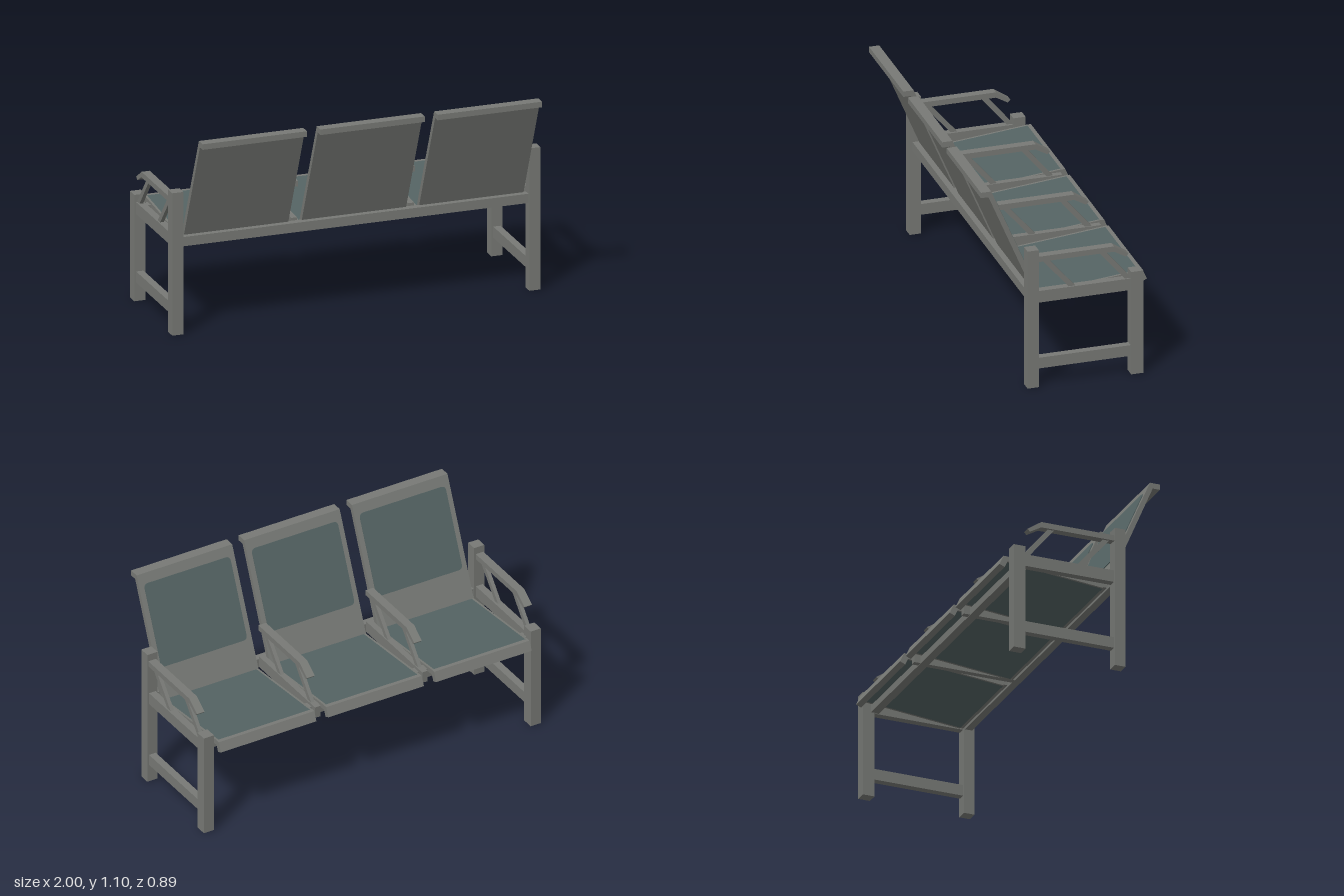
import * as THREE from 'three';

const frameMat = new THREE.MeshStandardMaterial({ color: 0x777975 });
frameMat.name = 'grey frame';
const fabricMat = new THREE.MeshStandardMaterial({ color: 0x546363 });
fabricMat.name = 'teal fabric';

export function createModel() {
  const bench = new THREE.Group();
  bench.name = 'threeSeatBench';

  const add = (name, geometry, material, parent = bench) => {
    const mesh = new THREE.Mesh(geometry, material);
    mesh.name = name;
    parent.add(mesh);
    return mesh;
  };

  // Box given by its limits on each axis
  const box = (name, [x0, x1], [y0, y1], [z0, z1], parent, mat = frameMat) => {
    const mesh = add(name, new THREE.BoxGeometry(x1 - x0, y1 - y0, z1 - z0), mat, parent);
    mesh.position.set((x0 + x1) / 2, (y0 + y1) / 2, (z0 + z1) / 2);
    return mesh;
  };

  // Side profile of [z, y] points, extruded across x and centred on the given x
  const profile = (name, points, x, width, parent, mat = frameMat) => {
    const shape = new THREE.Shape(points.map(([z, y]) => new THREE.Vector2(z, y)));
    const g = new THREE.ExtrudeGeometry(shape, { depth: width, bevelEnabled: false });
    g.translate(0, 0, -width / 2).rotateY(-Math.PI / 2).translate(x, 0, 0);
    return add(name, g, mat, parent);
  };

  // Armrest with two slanted struts
  const arm = (x, parent) => {
    profile('armrest', [[0.16, 0.70], [0.16, 0.73], [-0.245, 0.73], [-0.322, 0.678],
      [-0.308, 0.664], [-0.245, 0.70]], x, 0.045, parent);
    profile('rearStrut', [[0.14, 0.705], [0.105, 0.705], [-0.045, 0.53], [-0.01, 0.53]].map(
      ([z, y]) => [y < 0.6 ? z - 0.0 : z, y]), x, 0.02, parent);
    profile('frontStrut', [[-0.165, 0.705], [-0.2, 0.705], [-0.345, 0.53], [-0.31, 0.53]], x, 0.02, parent);
  };

  // End frames: posts, side rails and armrests
  for (const s of [-1, 1]) {
    const end = new THREE.Group();
    end.name = s > 0 ? 'leftEndFrame' : 'rightEndFrame';
    bench.add(end);
    const across = (a, b) => (s > 0 ? [a, b] : [-b, -a]);
    box('rearPost', across(0.94, 1), [0, 0.77], [0.16, 0.22], end);
    box('frontPost', across(0.94, 1), [0, 0.575], [-0.40, -0.335], end);
    box('lowerSideRail', across(0.95, 0.99), [0.10, 0.16], [-0.335, 0.16], end);
    box('upperSideRail', across(0.95, 0.99), [0.47, 0.535], [-0.335, 0.16], end);
    arm(s * 0.972, end);

    // Inner arms between the seats
    const inner = new THREE.Group();
    inner.name = s > 0 ? 'leftInnerArm' : 'rightInnerArm';
    bench.add(inner);
    box('innerRail', across(0.302, 0.334), [0.472, 0.535], [-0.39, 0.165], inner);
    arm(s * 0.318, inner);
  }

  // Long rails
  box('rearRail', [-0.945, 0.945], [0.47, 0.52], [0.165, 0.205]);
  box('frontRail', [-0.945, 0.945], [0.47, 0.52], [-0.355, -0.31]);

  // Rounded fabric sheet for the backrests
  const w = 0.255, h = 0.222, r = 0.025;
  const sheet = new THREE.Shape();
  sheet.moveTo(-w + r, -h);
  sheet.lineTo(w - r, -h).quadraticCurveTo(w, -h, w, -h + r);
  sheet.lineTo(w, h - r).quadraticCurveTo(w, h, w - r, h);
  sheet.lineTo(-w + r, h).quadraticCurveTo(-w, h, -w, h - r);
  sheet.lineTo(-w, -h + r).quadraticCurveTo(-w, -h, -w + r, -h);
  const sheetGeo = new THREE.ExtrudeGeometry(sheet, { depth: 0.008, bevelEnabled: false, curveSegments: 5 });
  sheetGeo.translate(0, 0, -0.004);

  // Seats
  for (const x of [-0.636, 0.004, 0.642]) {
    const seat = new THREE.Group();
    seat.name = 'seat';
    bench.add(seat);

    // Reclined back with a cap along the top
    profile('backrest', [[0.12, 0.465], [0.15, 0.465], [0.405, 1.07], [0.445, 1.07],
      [0.445, 1.10], [0.39, 1.10]], x, 0.567, seat);
    const fabric = add('backFabric', sheetGeo, fabricMat, seat);
    fabric.position.set(x, 0.845, 0.2815);
    fabric.rotation.x = 0.402;

    // Sloping seat panel, edge strips and drooping front lip
    const panel = [[0.13, 0.461], [0.13, 0.49], [-0.40, 0.54], [-0.40, 0.512]];
    profile('seatFabric', panel, x, 0.543, seat, fabricMat);
    for (const s of [-1, 1]) profile('seatEdge', panel, x + s * 0.277, 0.012, seat);
    profile('seatLip', [[-0.40, 0.512], [-0.40, 0.54], [-0.422, 0.54], [-0.444, 0.49],
      [-0.416, 0.478]], x, 0.567, seat);
  }
  return bench;
}
